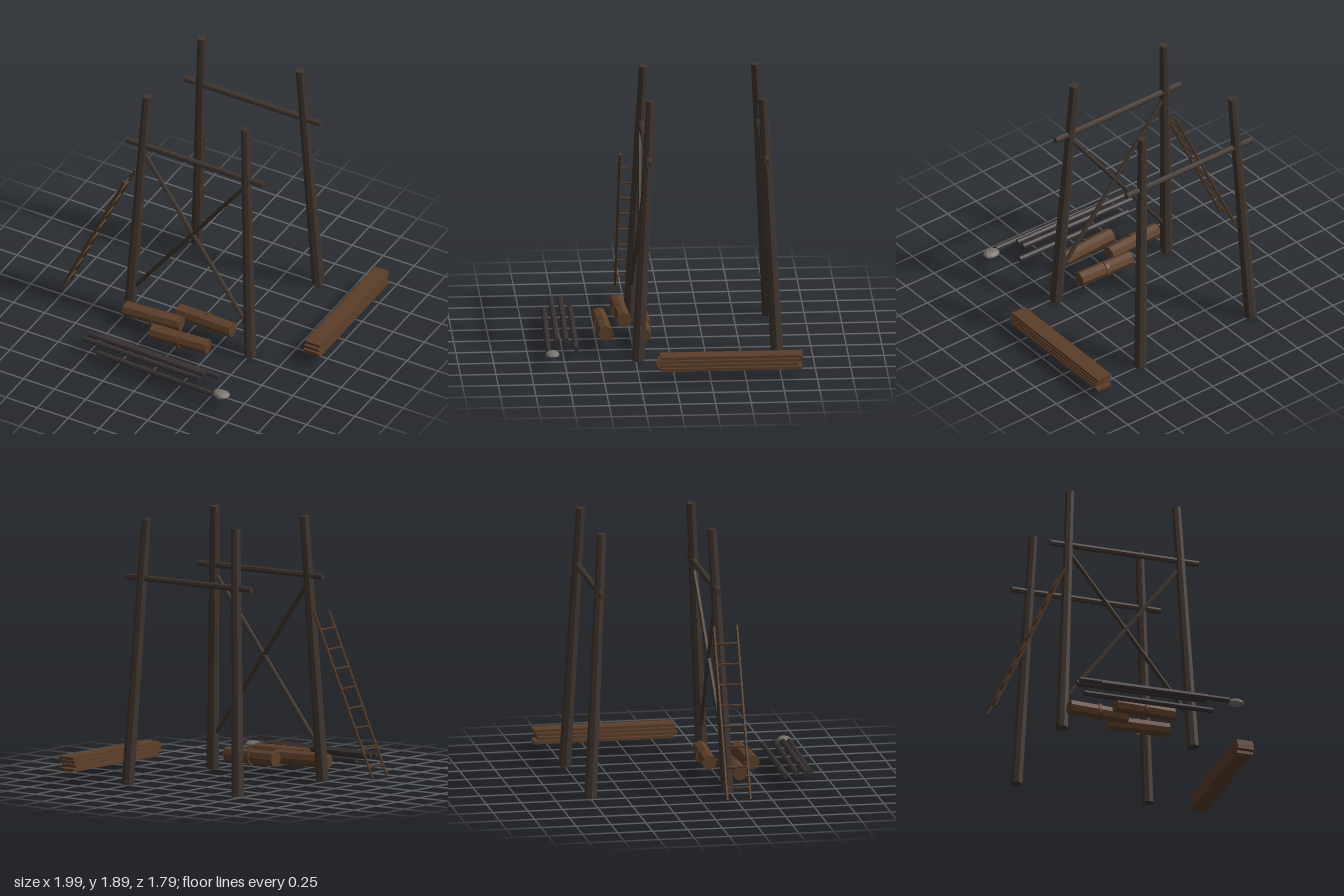
import * as THREE from 'three';

const mat = (name, color) => {
  const m = new THREE.MeshStandardMaterial({ color, flatShading: true });
  m.name = name;
  return m;
};

export function createModel() {
  const root = new THREE.Group();
  const timber = mat('dark timber', 0x40352f);
  const poleWood = mat('dark pole', 0x393132);
  const bark = mat('log brown', 0x5c3f29);
  const plankWood = mat('plank brown', 0x5c3e2a);
  const ladderWood = mat('ladder brown', 0x4f3725);
  const stone = mat('stone grey', 0x77736e);

  const add = (parent, name, geometry, material) => {
    const mesh = new THREE.Mesh(geometry, material);
    mesh.name = name;
    parent.add(mesh);
    return mesh;
  };
  const group = (name) => {
    const g = new THREE.Group();
    g.name = name;
    root.add(g);
    return g;
  };

  // Round bar running from point a (radius ra) to point b (radius rb)
  const bar = (parent, name, a, b, ra, rb, sides, material) => {
    const A = new THREE.Vector3(...a), B = new THREE.Vector3(...b);
    const dir = B.clone().sub(A);
    const mesh = add(parent, name, new THREE.CylinderGeometry(rb, ra, dir.length(), sides), material);
    mesh.position.copy(A).add(B).multiplyScalar(0.5);
    mesh.quaternion.setFromUnitVectors(new THREE.Vector3(0, 1, 0), dir.normalize());
    return mesh;
  };

  // Four leaning, tapered legs and the two cross beams
  const tower = group('tower');
  const cx = 0.02, cz = -0.2575;
  for (const sz of [1, -1]) {
    for (const sx of [1, -1]) {
      bar(tower, sz > 0 ? 'frontLeg' : 'backLeg',
        [cx + sx * 0.487, 0.002, cz + sz * 0.49], [cx + sx * 0.396, 1.888, cz + sz * 0.395],
        0.045, 0.033, 8, timber);
    }
    const z = cz + sz * 0.413;
    bar(tower, sz > 0 ? 'frontBeam' : 'backBeam', [-0.53, 1.467, z], [0.573, 1.467, z], 0.022, 0.022, 8, timber);
  }
  // Crossed braces between the front legs
  for (const s of [1, -1]) {
    bar(tower, 'brace', [cx + s * 0.476, 0.222, 0.222], [cx - s * 0.419, 1.42, 0.161], 0.016, 0.016, 6, timber);
  }

  // Ladder leaning beside the tower
  const ladder = group('ladder');
  const foot = [-0.988, 0.07], head = [-0.47, 1.208];
  for (const z of [0.133, 0.298]) {
    bar(ladder, 'ladderRail', [...foot, z], [...head, z], 0.01, 0.01, 6, ladderWood);
  }
  for (let i = 0; i < 8; i++) {
    const t = 0.07 + i * 0.118;
    const x = foot[0] + (head[0] - foot[0]) * t, y = foot[1] + (head[1] - foot[1]) * t;
    bar(ladder, 'rung', [x, y, 0.133], [x, y, 0.298], 0.008, 0.008, 6, ladderWood);
  }

  // Stack of four planks, their ends slightly uneven
  const planks = group('plankStack');
  [[-0.895, 0.105], [-0.87, 0.13], [-0.88, 0.12], [-0.898, 0.105]].forEach(([z0, z1], i) => {
    add(planks, 'plank', new THREE.BoxGeometry(0.118, 0.021, z1 - z0), plankWood)
      .position.set(0.937, 0.084 + i * 0.028, (z0 + z1) / 2);
  });

  // Logs, each with a half band around one side
  const logs = group('logs');
  const half = new THREE.Shape();
  half.absarc(0, 0, 0.062, -Math.PI / 2, Math.PI / 2, false);
  half.absarc(0, 0, 0.04, Math.PI / 2, -Math.PI / 2, true);
  const bandGeo = new THREE.ExtrudeGeometry(half, { depth: 0.027, bevelEnabled: false, curveSegments: 8 });
  bandGeo.translate(0, 0, -0.0135).rotateY(-Math.PI / 2);
  const logGeo = new THREE.CylinderGeometry(0.054, 0.054, 0.44, 8).rotateZ(Math.PI / 2);
  for (const [x, z, turn, side] of [[-0.227, 0.312, 0.065, 1], [0.067, 0.456, 0.06, 1], [0.12, 0.178, -0.035, -1]]) {
    const g = new THREE.Group();
    g.name = 'bandedLog';
    g.position.set(x, 0.129, z);
    g.rotation.y = turn;
    logs.add(g);
    add(g, 'log', logGeo, bark);
    add(g, 'band', bandGeo, bark).rotation.y = side > 0 ? 0 : Math.PI;
  }

  // Four slim poles lying in front
  const poles = group('poles');
  for (const [x, y, z0, z1] of [[-0.445, 0.093, 0.653, 0.669], [-0.525, 0.13, 0.715, 0.736],
    [-0.525, 0.13, 0.781, 0.798], [-0.387, 0.095, 0.84, 0.867]]) {
    bar(poles, 'pole', [x, y, z0], [x + 0.945, y, z1], 0.02, 0.02, 7, poleWood);
  }

  // Flattened stone at the end of the last pole
  const rockGeo = new THREE.IcosahedronGeometry(1, 1);
  const p = rockGeo.attributes.position;
  for (let i = 0; i < p.count; i++) {
    const x = p.getX(i), y = p.getY(i), z = p.getZ(i);
    const k = 1 + 0.08 * Math.sin(5 * x + 3 * z) + 0.06 * Math.sin(7 * y - 4 * x);
    p.setXYZ(i, x * k * 0.062, y * k * 0.025, z * k * 0.05);
  }
  rockGeo.computeVertexNormals();
  add(root, 'stone', rockGeo, stone).position.set(0.617, 0.095, 0.843);

  return root;
}
